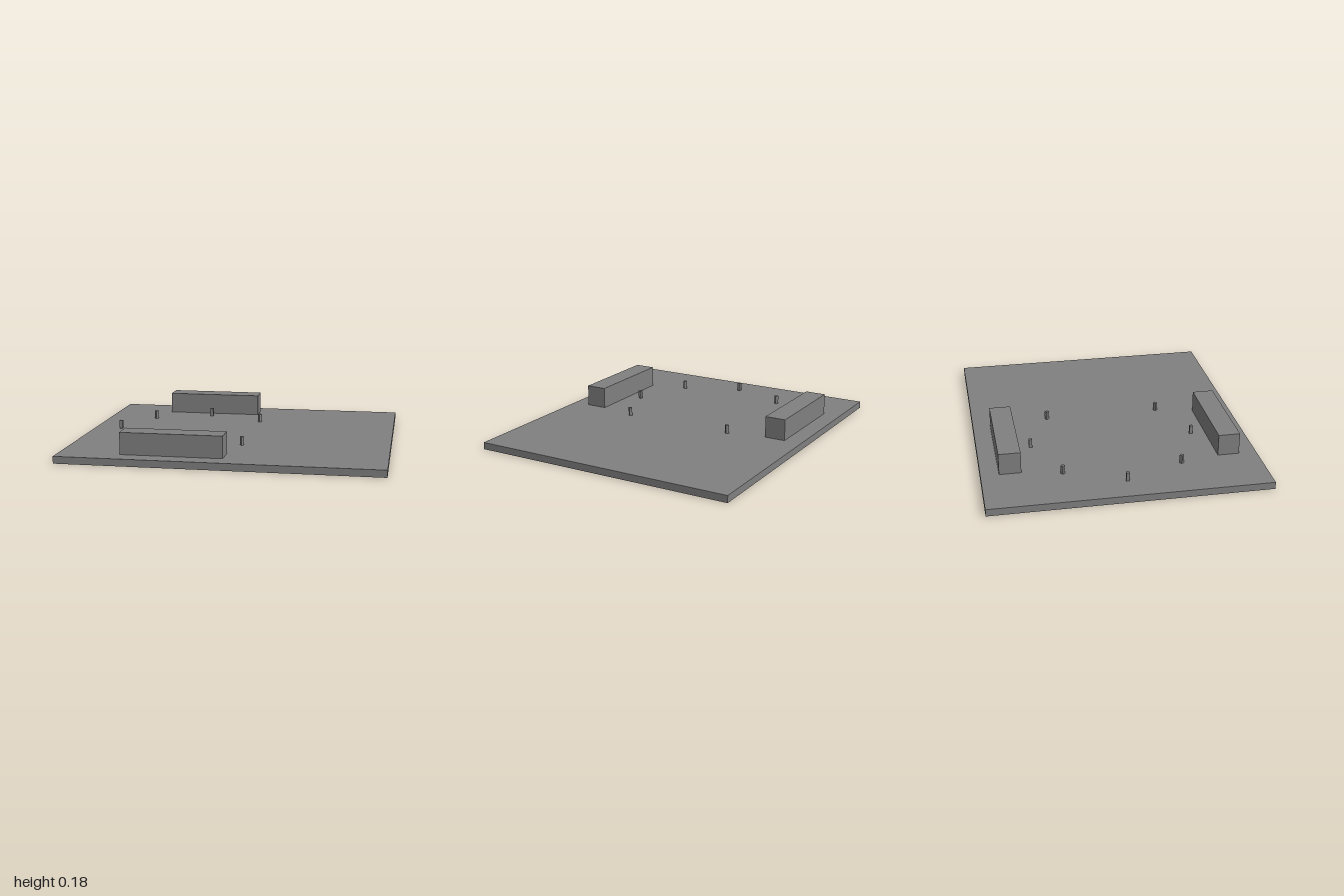
import * as THREE from 'three';

export function createModel() {
  const group = new THREE.Group();
  const grey = new THREE.MeshStandardMaterial({ color: 0x808080 });
  grey.name = 'grey';

  // Adds a box standing on height y
  const addBox = (name, w, h, d, x, y, z) => {
    const mesh = new THREE.Mesh(new THREE.BoxGeometry(w, h, d), grey);
    mesh.name = name;
    mesh.position.set(x, y + h / 2, z);
    group.add(mesh);
    return mesh;
  };

  const top = 0.045;
  const centreX = -0.297;

  // Base plate
  addBox('basePlate', 2, top, 1.73, 0, 0, 0);

  // Long blocks on both sides
  for (const side of [-1, 1]) {
    addBox(side > 0 ? 'frontBlock' : 'backBlock', 0.636, 0.138, 0.136, centreX, top, side * 0.684);
  }

  // Ring of square pegs, open towards +x
  const radius = 0.523;
  for (let i = 1; i < 8; i++) {
    const a = (i * Math.PI) / 4;
    const peg = addBox('peg' + i, 0.02, 0.055, 0.02,
      centreX + radius * Math.cos(a), top, radius * Math.sin(a));
    peg.rotation.y = -a;
  }

  return group;
}
